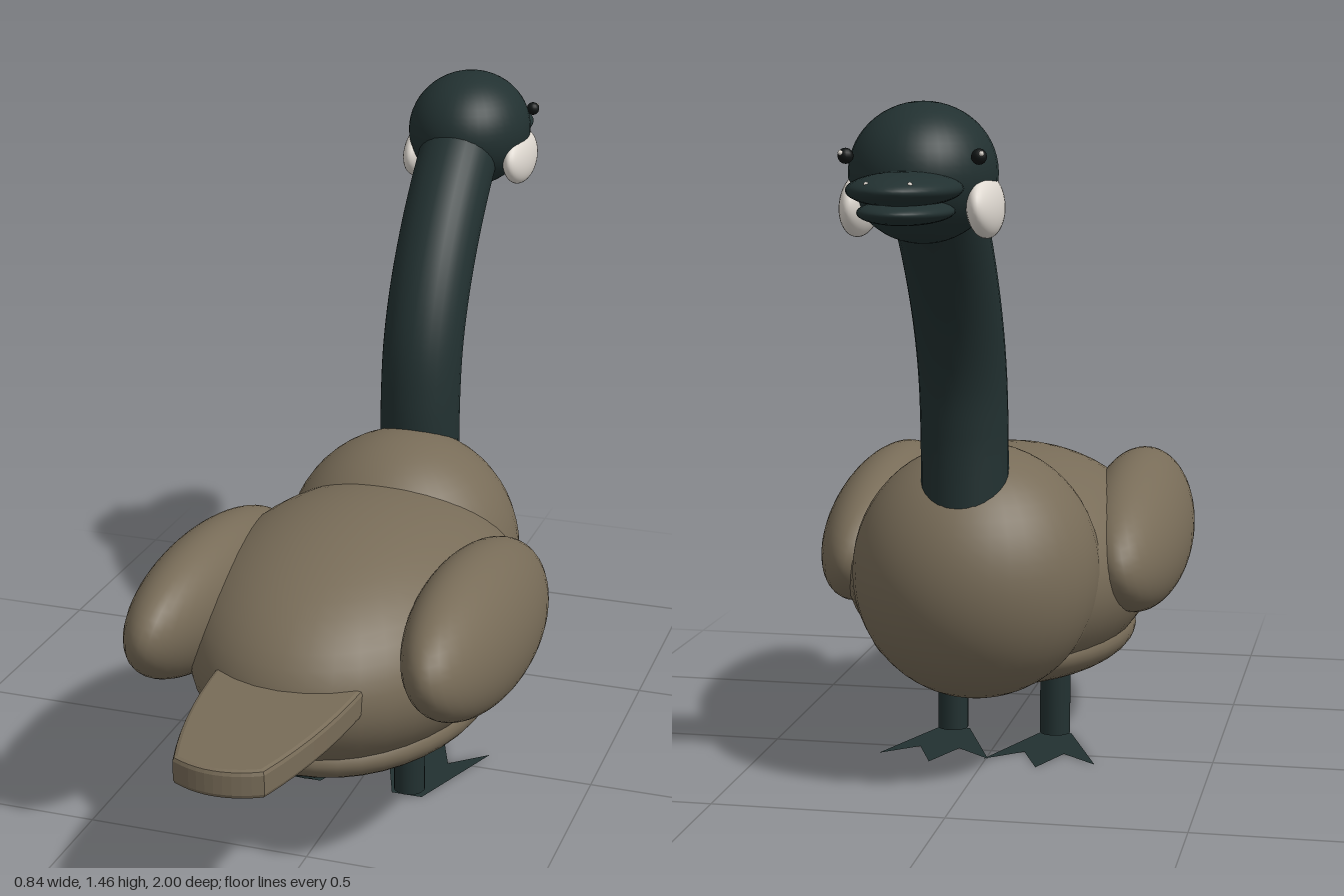
import * as THREE from 'three';

const mat = (name, color, side = THREE.FrontSide) => {
  const m = new THREE.MeshStandardMaterial({ color, side });
  m.name = name;
  return m;
};

export function createModel() {
  const goose = new THREE.Group();
  goose.name = 'goose';
  const brown = mat('brown plumage', 0x786c58);
  const dark = mat('dark plumage', 0x223131);
  const footDark = mat('foot skin', 0x223131, THREE.DoubleSide);
  const white = mat('white patch', 0xe0dad2);
  const black = mat('eye black', 0x101414);

  const add = (name, geometry, material, pos = [0, 0, 0], rot = [0, 0, 0]) => {
    const mesh = new THREE.Mesh(geometry, material);
    mesh.name = name;
    mesh.position.set(...pos);
    mesh.rotation.set(...rot);
    goose.add(mesh);
    return mesh;
  };
  const ellipsoid = (name, material, pos, radii, rot, seg = 40) =>
    add(name, new THREE.SphereGeometry(1, seg, seg * 0.7 | 0).scale(...radii), material, pos, rot);

  // Trunk
  ellipsoid('body', brown, [0, 0.418, 0.15], [0.35, 0.26, 0.508]);
  ellipsoid('belly', brown, [0, 0.262, 0.16], [0.3, 0.105, 0.42]);
  ellipsoid('breast', brown, [0, 0.453, -0.165], [0.268, 0.277, 0.277]);

  // Flat tail with a rounded tip and a small bevel
  const tail = new THREE.Shape();
  tail.moveTo(-0.15, 0.4);
  tail.lineTo(0.15, 0.4);
  tail.quadraticCurveTo(0.165, 0.72, 0.085, 0.965);
  tail.quadraticCurveTo(0, 1.012, -0.085, 0.965);
  tail.quadraticCurveTo(-0.165, 0.72, -0.15, 0.4);
  const tailGeo = new THREE.ExtrudeGeometry(tail, {
    depth: 0.04, bevelThickness: 0.01, bevelSize: 0.01, bevelSegments: 2, curveSegments: 10,
  });
  tailGeo.rotateX(Math.PI / 2);
  add('tail', tailGeo, brown, [0, 0.455, 0]);

  // Curved neck
  const neckPath = new THREE.CatmullRomCurve3([
    [0.58, -0.29], [0.78, -0.293], [0.9, -0.312], [1.02, -0.362],
    [1.15, -0.45], [1.27, -0.565], [1.33, -0.65],
  ].map(([y, z]) => new THREE.Vector3(0, y, z)));
  add('neck', new THREE.TubeGeometry(neckPath, 40, 0.092, 28), dark);

  // Head and bill
  ellipsoid('head', dark, [0, 1.326, -0.672], [0.142, 0.135, 0.168]);
  ellipsoid('upperBill', dark, [0, 1.302, -0.83], [0.105, 0.033, 0.17]);
  ellipsoid('lowerBill', dark, [0, 1.26, -0.82], [0.088, 0.025, 0.145]);

  // Webbed foot outline, toes pointing forward
  const foot = new THREE.Shape();
  foot.moveTo(-0.035, -0.02);
  [[0.035, -0.02], [0.125, 0.22], [0.045, 0.15], [0, 0.265], [-0.045, 0.15], [-0.125, 0.22]]
    .forEach(([x, y]) => foot.lineTo(x, y));
  foot.closePath();
  const footGeo = new THREE.ShapeGeometry(foot).rotateX(-Math.PI / 2);

  // Mirrored parts
  for (const [side, s] of [['left', 1], ['right', -1]]) {
    ellipsoid(side + 'Wing', brown, [0.302 * s, 0.48, 0.255], [0.114, 0.162, 0.4], [-0.1, 0, 0.22 * s]);
    ellipsoid(side + 'Cheek', white, [0.122 * s, 1.265, -0.682], [0.032, 0.062, 0.108], [0, 0, 0.08 * s]);
    ellipsoid(side + 'Eye', black, [0.127 * s, 1.36, -0.772], [0.015, 0.015, 0.015], [0, 0, 0], 16);
    ellipsoid(side + 'EyeGlint', white, [0.134 * s, 1.366, -0.784], [0.005, 0.005, 0.005], [0, 0, 0], 10);
    ellipsoid(side + 'Nostril', white, [0.04 * s, 1.316, -0.965], [0.005, 0.005, 0.005], [0, 0, 0], 10);
    add(side + 'Leg', new THREE.CylinderGeometry(0.035, 0.035, 0.25, 20), dark, [0.12 * s, 0.135, 0.155]);
    add(side + 'Foot', footGeo, footDark, [0.12 * s, 0.002, 0.155]);
  }
  return goose;
}
